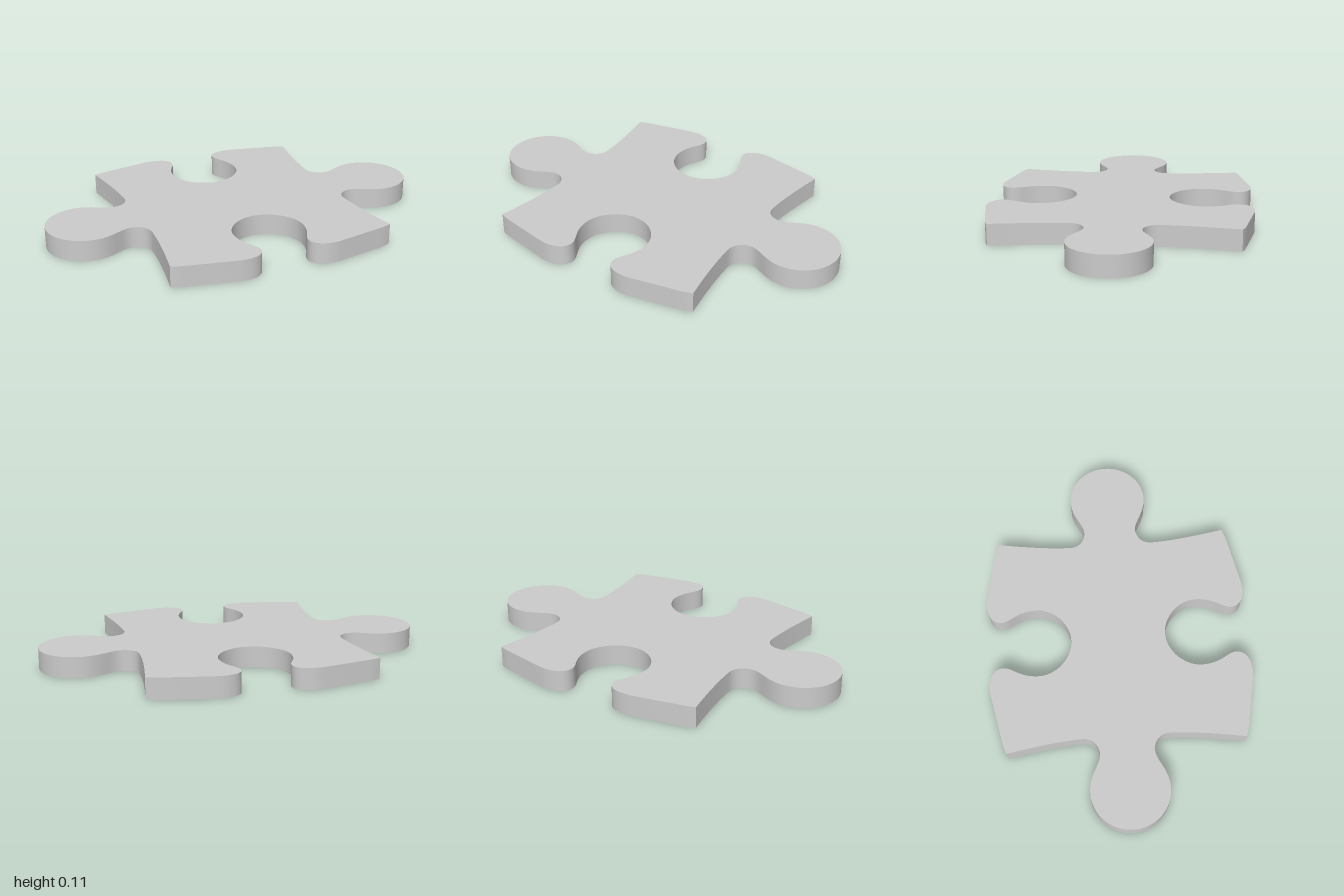
import * as THREE from 'three';
import { toCreasedNormals } from 'three/addons/utils/BufferGeometryUtils.js';

const THICKNESS = 0.108;

// One quarter of the outline, from the tip of the side tab to the bottom of the notch
function quarterOutline() {
  const p = new THREE.Path();
  p.moveTo(1, 0);
  p.bezierCurveTo(1, 0.11, 0.914, 0.2, 0.803, 0.2);           // round tab
  p.bezierCurveTo(0.715, 0.2, 0.665, 0.138, 0.613, 0.138);    // neck
  p.bezierCurveTo(0.562, 0.138, 0.53, 0.175, 0.53, 0.22);     // fillet into the body
  p.quadraticCurveTo(0.533, 0.36, 0.577, 0.604);              // bowed side
  p.quadraticCurveTo(0.548, 0.617, 0.508, 0.625);             // corner
  p.lineTo(0.27, 0.673);                                      // sloping edge
  p.bezierCurveTo(0.19, 0.687, 0.125, 0.66, 0.125, 0.605);    // rounded lip
  p.bezierCurveTo(0.125, 0.555, 0.182, 0.525, 0.182, 0.42);   // notch throat
  p.bezierCurveTo(0.182, 0.335, 0.1, 0.245, 0, 0.245);        // notch bowl
  return p.getPoints(14);
}

export function createModel() {
  const group = new THREE.Group();
  group.name = 'jigsawPiece';

  // Mirror the quarter across x, then the half across z
  const mirror = (pts, sx, sy) =>
    pts.map((v) => new THREE.Vector2(v.x * sx, v.y * sy)).reverse();
  const quarter = quarterOutline();
  const half = [...quarter, ...mirror(quarter, -1, 1).slice(1)];
  const outline = [...half, ...mirror(half, 1, -1).slice(1, -1)];

  // Flat slab with smooth curved walls and sharp rims
  const slab = new THREE.ExtrudeGeometry(new THREE.Shape(outline), {
    depth: THICKNESS,
    bevelEnabled: false,
  });
  slab.rotateX(-Math.PI / 2);

  const piece = new THREE.Mesh(
    toCreasedNormals(slab, Math.PI / 6),
    new THREE.MeshStandardMaterial({ color: 0xcccccc })
  );
  piece.name = 'puzzlePiece';
  group.add(piece);
  return group;
}
